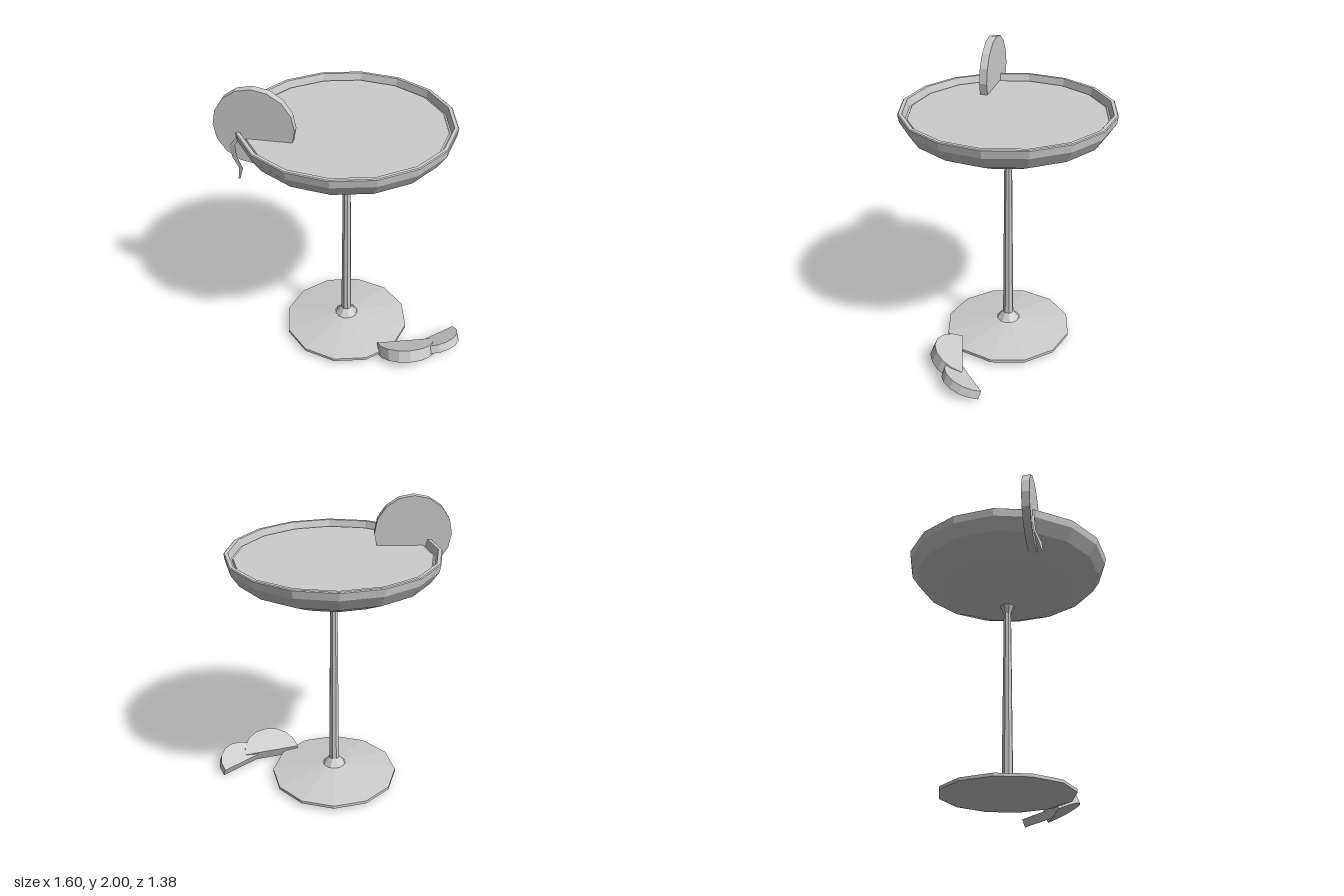
import * as THREE from 'three';

const grey = new THREE.MeshStandardMaterial({ color: 0xcccccc, flatShading: true });
grey.name = 'plain grey';
const greyThin = new THREE.MeshStandardMaterial({ color: 0xcccccc, flatShading: true, side: THREE.DoubleSide });
greyThin.name = 'plain grey thin';

function add(parent, name, geometry, material = grey) {
  const mesh = new THREE.Mesh(geometry, material);
  mesh.name = name;
  parent.add(mesh);
  return mesh;
}

// Turned part: profile of [radius, height], sides, angle of the first corner
function turned(profile, sides, start) {
  const points = profile.map(([r, y]) => new THREE.Vector2(r, y));
  return new THREE.LatheGeometry(points, sides, start);
}

// Half wheel lying flat: straight edge along x, arc towards +z, bottom at y = 0
function halfWheel(radius, thickness, sides) {
  const points = [];
  for (let i = 0; i <= sides; i++) {
    const a = (i / sides) * Math.PI;
    points.push(new THREE.Vector2(radius * Math.cos(a), radius * Math.sin(a)));
  }
  const geometry = new THREE.ExtrudeGeometry(new THREE.Shape(points), { depth: thickness, bevelEnabled: false });
  return geometry.rotateX(Math.PI / 2).translate(0, thickness, 0);
}

// Ribbon along a path, with a width direction per point
function ribbon(path, widths) {
  const positions = [], index = [];
  path.forEach((p, i) => {
    const w = widths[i];
    positions.push(p[0] - w[0], p[1] - w[1], p[2] - w[2], p[0] + w[0], p[1] + w[1], p[2] + w[2]);
    if (i > 0) {
      const k = 2 * i;
      index.push(k - 2, k - 1, k, k - 1, k + 1, k);
    }
  });
  const geometry = new THREE.BufferGeometry();
  geometry.setAttribute('position', new THREE.Float32BufferAttribute(positions, 3));
  geometry.setIndex(index);
  geometry.computeVertexNormals();
  return geometry;
}

export function createModel() {
  const model = new THREE.Group();
  model.name = 'cocktail';

  // Coupe glass
  const glass = new THREE.Group();
  glass.name = 'glass';
  glass.position.x = 0.028;
  model.add(glass);

  add(glass, 'foot', turned([
    [0, 0.015], [0.4, 0.015], [0.44, 0.025], [0.44, 0.045], [0.22, 0.082], [0.08, 0.105],
  ], 12, 0.21));
  add(glass, 'stem', turned([
    [0.08, 0.1], [0.037, 0.155], [0.026, 1.3], [0.05, 1.36],
  ], 8, 0.13));
  add(glass, 'bowl', turned([
    [0.04, 1.355], [0.075, 1.375], [0.2, 1.412], [0.44, 1.475], [0.635, 1.57],
    [0.688, 1.65], [0.696, 1.7], [0.69, 1.705], [0.668, 1.705], [0.655, 1.655], [0.63, 1.645],
  ], 16, 0.13));

  // Drink surface
  add(glass, 'drink', turned([[0.65, 1.64], [0.638, 1.665], [0, 1.665]], 16, 0.13));

  // Citrus wheel on the rim
  const wheel = add(model, 'citrusWheel',
    new THREE.CylinderGeometry(0.255, 0.255, 0.052, 16).rotateX(Math.PI / 2));
  wheel.position.set(-0.545, 1.745, 0.08);
  wheel.rotation.y = -0.297;

  // Curl of peel hanging from the wheel
  add(model, 'peelCurl', ribbon(
    [[-0.655, 1.665, 0.08], [-0.69, 1.61, 0.07], [-0.68, 1.535, 0.08], [-0.645, 1.475, 0.12], [-0.66, 1.405, 0.13]],
    [[0.012, 0.01, 0.01], [0.018, 0.008, 0.012], [0.014, 0.008, 0.01], [0.012, 0.005, 0.012], [0.006, 0.004, 0.006]],
  ), greyThin);

  // Two half wheels leaning beside the foot
  const halves = [
    { radius: 0.2, thickness: 0.085, at: [0.41, 0, 0.36], yaw: 0 },
    { radius: 0.175, thickness: 0.06, at: [0.635, 0.005, 0.3], yaw: 0.44 },
  ];
  halves.forEach(({ radius, thickness, at, yaw }) => {
    const half = add(model, 'citrusHalf', halfWheel(radius, thickness, 8));
    half.position.set(...at);
    half.rotation.set(-0.41, yaw, 0, 'YXZ');
  });

  return model;
}
